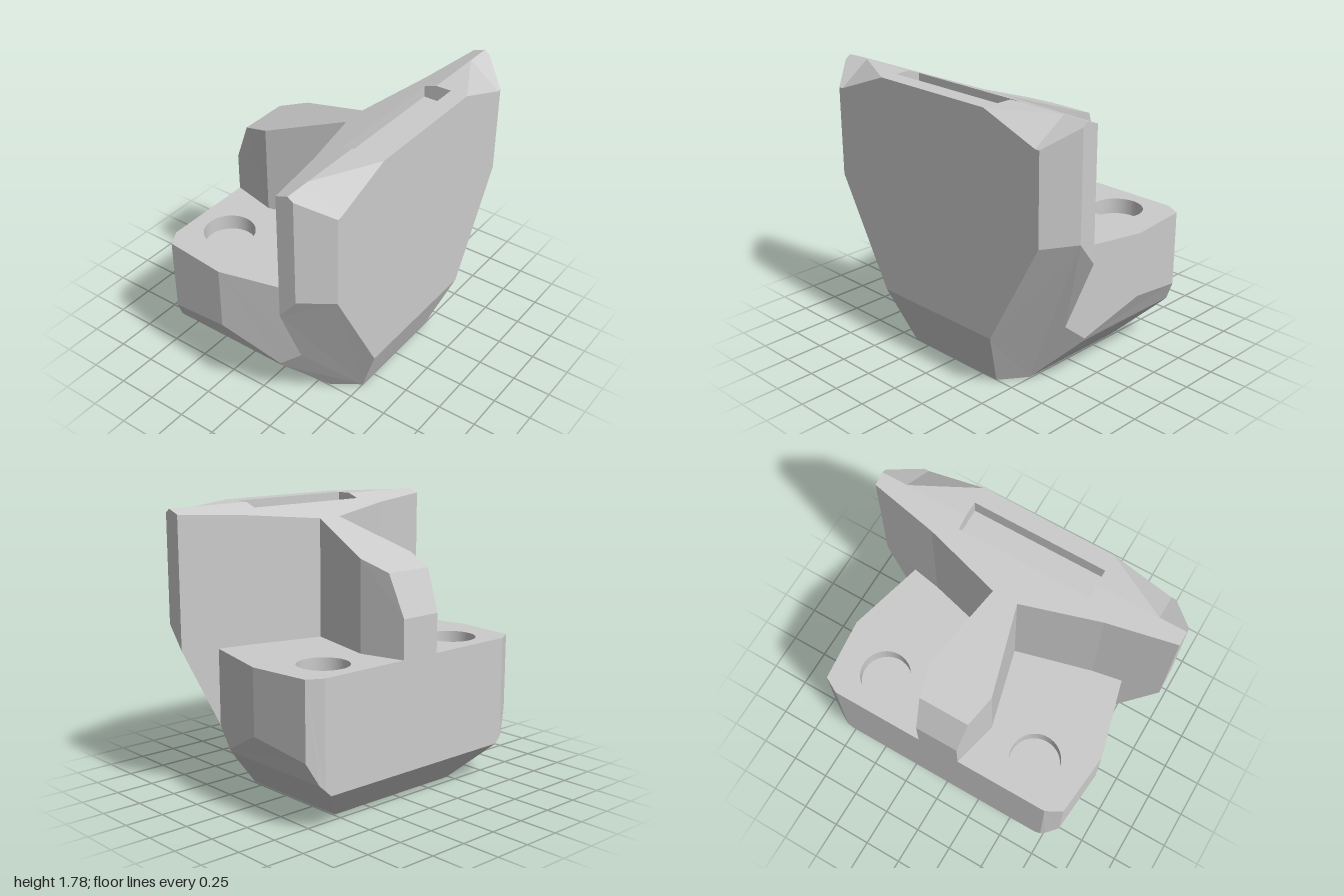
import * as THREE from 'three';

const SLOPE_Z = 0.44, TOP = 1.785, BACK = -0.655, SHELF = 0.925;
// height of the rearward-sloping top surface at a given z
const topY = z => TOP - 0.3586 * Math.max(0, SLOPE_Z - z);
const V = (x, y, z) => new THREE.Vector3(x, y, z);
const onTop = (x, z) => V(x, topY(z), z);
const drop = (p, y) => V(p.x, y, p.z);

// Planar polygons given for the +x half; each is mirrored to -x.
// Each face: { out: rough outward direction, loop: corners, hole: optional inner loop }
function mirroredShell(name, faces, material) {
  const pos = [];
  for (const s of [1, -1]) {
    for (const { out, loop, hole } of faces) {
      const flip = p => V(p.x * s, p.y, p.z);
      const dir = flip(V(...out)).normalize();
      const u = Math.abs(dir.y) > 0.9 ? V(1, 0, 0) : V(0, 1, 0);
      u.cross(dir).normalize();
      const w = dir.clone().cross(u);
      const flat = p => new THREE.Vector2(p.dot(u), p.dot(w));
      const outer = loop.map(flip), inner = (hole || []).map(flip);
      const pts = [...outer, ...inner];
      const tris = THREE.ShapeUtils.triangulateShape(outer.map(flat), hole ? [inner.map(flat)] : []);
      for (const t of tris) {
        let [a, b, c] = t.map(i => pts[i]);
        const n = b.clone().sub(a).cross(c.clone().sub(a));
        if (n.dot(dir) < 0) [b, c] = [c, b];
        for (const p of [a, b, c]) pos.push(p.x, p.y, p.z);
      }
    }
  }
  const g = new THREE.BufferGeometry();
  g.setAttribute('position', new THREE.Float32BufferAttribute(pos, 3));
  g.computeVertexNormals();
  const mesh = new THREE.Mesh(g, material);
  mesh.name = name;
  return mesh;
}

export function createModel() {
  const group = new THREE.Group();
  group.name = 'slottedBracket';
  const mat = new THREE.MeshStandardMaterial({ color: 0xcccccc, flatShading: true });
  const f = (out, ...loop) => ({ out, loop });

  // front plate corners
  const a = V(0.43, TOP, 0.65), b = V(0.82, 1.64, 0.65), c = V(0.85, 1.64, 0.65);
  const d = V(0.85, 1.07, 0.65), e = V(0.47, 0.38, 0.65), foot = V(0.37, 0, 0.5);
  const ridge = V(0.83, TOP, 0.44), g = V(1, 1.761, 0.475), h = V(1, TOP, 0.44);
  const i = onTop(1, 0.36), j = V(1, 1.09, 0.475), k = V(1, 0.94, 0.36);
  const m = onTop(0.57, 0.28), n = onTop(0.08, 0.15);
  const m0 = drop(m, SHELF), n0 = drop(n, SHELF);
  // neck corners
  const r = onTop(0.21, -0.36), r0 = drop(r, SHELF), s = V(0.163, 1.43, -0.55);
  const t = V(0.14, 1.17, BACK), u = V(0.14, SHELF, BACK);
  // rear block corners: upper rim, waist and underside
  const q = V(0.76, 0.44, 0.315), q0 = drop(q, SHELF), q1 = V(0.794, 0.325, 0.18);
  const v = V(0.89, SHELF, -0.19), v1 = drop(v, 0.51);
  const w = V(0.85, SHELF, -0.6), w1 = drop(w, 0.44);
  const x = V(0.75, SHELF, BACK), x1 = drop(x, 0.27);
  const p = V(0.78, 0.3, 0.18), y1 = V(0.78, 0.3, -0.64), z1 = V(0.71, 0.23, BACK);
  const o = V(0.49, 0, 0.33), o1 = V(0.49, 0, -0.44);
  const mid = (y, z) => V(0, y, z);

  // slot in the top edge
  const sx = 0.43, s0 = 0.36, s1 = 0.54, floor = 1.685;
  const slotBack = onTop(sx, s0), slotRidge = V(sx, TOP, SLOPE_Z), slotFront = V(sx, TOP, s1);
  const fb = drop(slotBack, floor), ff = drop(slotFront, floor);

  group.add(mirroredShell('frontPlate', [
    f([0, 0, 1], mid(TOP, 0.65), a, b, c, d, e, mid(0.38, 0.65)),
    f([0, -0.37, 0.93], mid(0.38, 0.65), e, foot, mid(0, 0.5)),
    f([0.3, 0.8, 0.5], a, b, ridge),
    f([0, 0.82, 0.57], b, c, g, h, ridge),
    f([0.75, 0, 0.65], c, g, j, d),
    f([1, 0, 0], g, h, i, k, j),
    f([0.72, -0.4, 0.57], d, j, k, q, q1, p, o, foot, e),
    f([0, 1, 0], mid(TOP, 0.65), a, ridge, slotRidge, slotFront, mid(TOP, s1)),
    f([0, 0.94, -0.34], mid(topY(s0), s0), slotBack, slotRidge, ridge, h, i, m, n, mid(topY(0.15), 0.15)),
    f([0.18, 0, -1], i, m, m0, q0, q, k),
    f([0.26, 0, -1], m, n, n0, m0),
  ], mat));

  group.add(mirroredShell('slot', [
    f([0, 1, 0], mid(floor, s0), fb, ff, mid(floor, s1)),
    f([-1, 0, 0], slotBack, slotRidge, slotFront, ff, fb),
    f([0, 0, -1], mid(TOP, s1), slotFront, ff, mid(floor, s1)),
    f([0, 0, 1], mid(topY(s0), s0), slotBack, fb, mid(floor, s0)),
  ], mat));

  group.add(mirroredShell('neck', [
    f([0, 0.94, -0.34], mid(topY(0.15), 0.15), n, r, s, mid(1.43, -0.55)),
    f([1, 0, 0.25], n, n0, r0, r),
    f([1, 0, -0.24], r, r0, u, t, s),
    f([0, 0.37, -0.93], mid(1.43, -0.55), s, t, mid(1.17, BACK)),
    f([0, 0, -1], mid(1.17, BACK), t, u, mid(SHELF, BACK)),
  ], mat));

  // screw recess rim
  const hx = 0.54, hz = -0.4, hr = 0.16, depth = 0.1, sides = 40;
  const rim = Array.from({ length: sides }, (_, n) => {
    const ang = n / sides * Math.PI * 2;
    return V(hx + hr * Math.sin(ang), SHELF, hz + hr * Math.cos(ang));
  });

  group.add(mirroredShell('rearBlock', [
    { out: [0, 1, 0], loop: [n0, m0, q0, v, w, x, u, r0], hole: rim },
    f([1, 0, 0.26], q0, q, q1, v1, v),
    f([1, 0, -0.1], v, v1, w1, w),
    f([0.5, 0, -0.87], w, w1, y1, x1, x),
    f([0.89, -0.46, 0], q1, p, y1, w1, v1),
    f([0.72, -0.7, 0], p, o, o1, z1, x1, y1),
    f([0, 0, -1], mid(SHELF, BACK), u, x, x1, z1, mid(0.23, BACK)),
    f([0, -0.68, -0.73], mid(0.23, BACK), z1, o1, mid(0, -0.44)),
    f([0, -1, 0], mid(0, 0.5), foot, o, o1, mid(0, -0.44)),
  ], mat));

  // blind screw recesses
  const wallMat = new THREE.MeshStandardMaterial({ color: 0xcccccc, side: THREE.DoubleSide });
  for (const side of [1, -1]) {
    const recess = new THREE.Group();
    recess.name = side > 0 ? 'leftScrewRecess' : 'rightScrewRecess';
    const wall = new THREE.Mesh(new THREE.CylinderGeometry(hr, hr, depth, sides, 1, true), wallMat);
    wall.position.y = -depth / 2;
    const base = new THREE.Mesh(new THREE.CircleGeometry(hr, sides), mat);
    base.rotation.x = -Math.PI / 2;
    base.position.y = -depth;
    recess.add(wall, base);
    recess.position.set(side * hx, SHELF, hz);
    group.add(recess);
  }
  return group;
}
